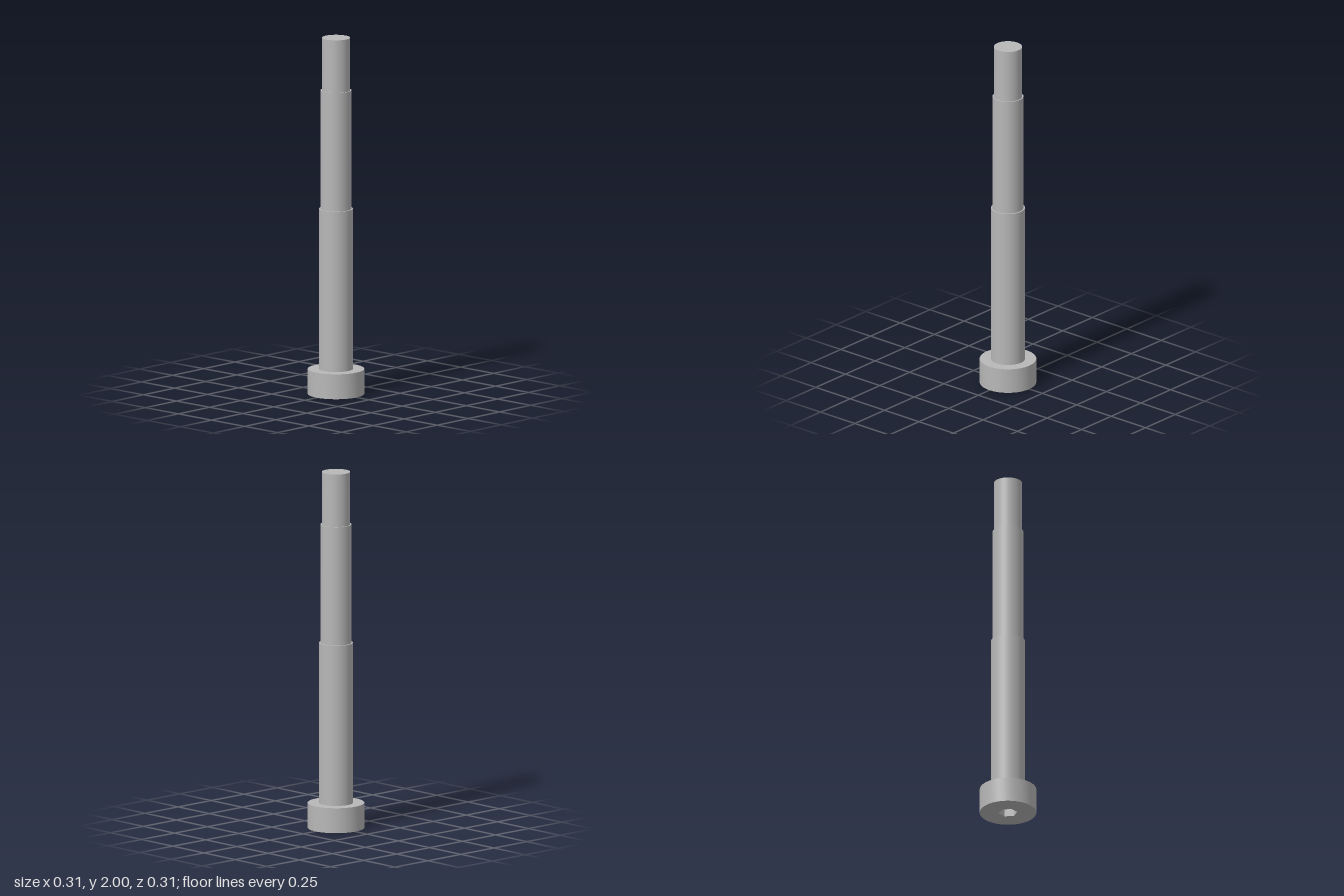
import * as THREE from 'three';
import { toCreasedNormals } from 'three/addons/utils/BufferGeometryUtils.js';

export function createModel() {
  const model = new THREE.Group();
  model.name = 'steppedSocketBolt';
  const steel = new THREE.MeshStandardMaterial({ color: 0xb8b8b8 });
  steel.name = 'steel grey';

  function add(name, geometry) {
    const mesh = new THREE.Mesh(geometry, steel);
    mesh.name = name;
    model.add(mesh);
  }

  // Round head pierced by a hexagonal key socket
  const outline = new THREE.Shape().absarc(0, 0, 0.156, 0, Math.PI * 2, false);
  const hexagon = [];
  for (let i = 0; i < 6; i++) {
    const a = Math.PI / 2 + (i * Math.PI) / 3;
    hexagon.push(new THREE.Vector2(Math.cos(a) * 0.052, Math.sin(a) * 0.052));
  }
  outline.holes.push(new THREE.Path(hexagon));
  const head = new THREE.ExtrudeGeometry(outline, { depth: 0.14, bevelEnabled: false, curveSegments: 36 });
  head.rotateX(-Math.PI / 2);
  add('head', toCreasedNormals(head, Math.PI / 6));

  // Stepped shaft; the lowest section starts inside the head and closes the socket
  const sections = [
    ['lowerShank', 0.094, 0.08, 1.04],
    ['middleShank', 0.085, 1.04, 1.705],
    ['tip', 0.078, 1.705, 2],
  ];
  for (const [name, radius, bottom, top] of sections) {
    const shaft = new THREE.CylinderGeometry(radius, radius, top - bottom, 64);
    shaft.translate(0, (top + bottom) / 2, 0);
    add(name, shaft);
  }
  return model;
}
